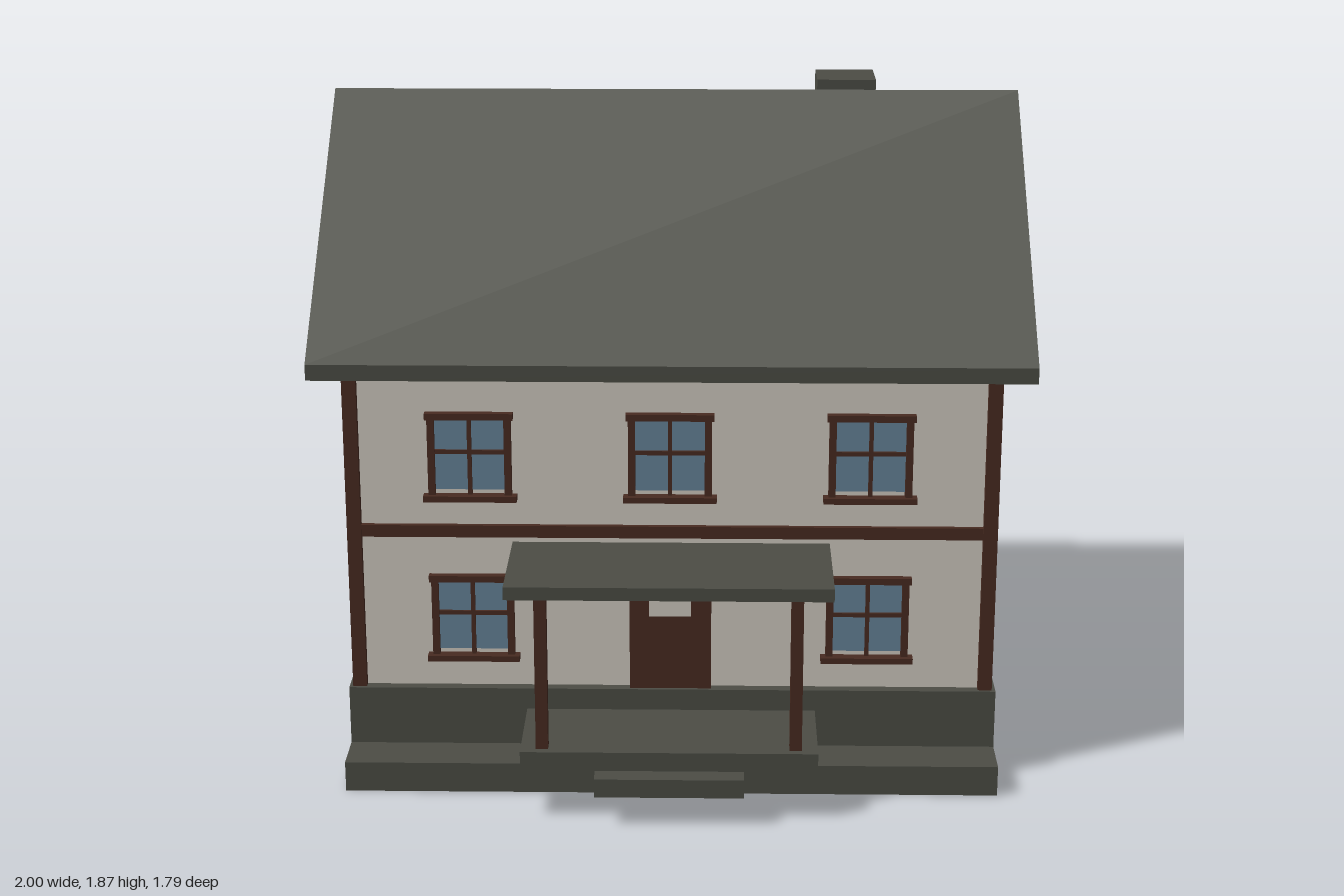
import * as THREE from 'three';

const mat = (name, color) => {
  const m = new THREE.MeshStandardMaterial({ color });
  m.name = name;
  return m;
};

export function createModel() {
  const slate = mat('slate grey', 0x4c4d45);
  const cream = mat('cream plaster', 0xd2ccc2);
  const timber = mat('dark timber', 0x482b21);
  const glass = mat('blue glass', 0x66849a);

  const house = new THREE.Group();
  house.name = 'house';

  // Box given by its lower and upper limits on each axis
  const box = (parent, name, material, [x0, x1], [y0, y1], [z0, z1]) => {
    const mesh = new THREE.Mesh(new THREE.BoxGeometry(x1 - x0, y1 - y0, z1 - z0), material);
    mesh.position.set((x0 + x1) / 2, (y0 + y1) / 2, (z0 + z1) / 2);
    mesh.name = name;
    parent.add(mesh);
    return mesh;
  };

  // Main limits of the walls
  const WX = 0.895, ZF = 0.52, ZB = -0.79;

  // Foundation, porch floor and step
  box(house, 'basePlinth', slate, [-0.925, 0.925], [0, 0.088], [-0.69, 0.685]);
  box(house, 'foundation', slate, [-0.925, 0.925], [0.088, 0.26], [-0.82, 0.55]);
  box(house, 'porchFloor', slate, [-0.415, 0.41], [0.088, 0.197], [0.55, 0.84]);
  box(house, 'porchStep', slate, [-0.208, 0.205], [0.088, 0.142], [0.84, 0.895]);

  // Walls
  box(house, 'walls', cream, [-WX, WX], [0.26, 1.205], [ZB, ZF]);

  // Corner posts
  for (const x of [-0.915, 0.875])
    for (const z of [-0.81, 0.5])
      box(house, 'cornerPost', timber, [x, x + 0.04], [0.26, 1.2], [z, z + 0.04]);

  // Beams between the floors
  const beamY = [0.715, 0.75];
  box(house, 'frontBeam', timber, [-0.88, 0.88], beamY, [ZF - 0.01, ZF + 0.015]);
  box(house, 'backBeam', timber, [-0.88, 0.88], beamY, [ZB - 0.015, ZB + 0.01]);
  box(house, 'leftBeam', timber, [WX - 0.01, WX + 0.015], beamY, [-0.78, 0.51]);
  box(house, 'rightBeam', timber, [-WX - 0.015, -WX + 0.01], beamY, [-0.78, 0.51]);

  // Gabled roof, extruded along x
  const gable = new THREE.Shape();
  gable.moveTo(-0.62, 1.2);
  gable.lineTo(0.895, 1.2);
  gable.lineTo(0.895, 1.245);
  gable.lineTo(0.138, 1.867);
  gable.lineTo(-0.62, 1.245);
  gable.closePath();
  const roofGeo = new THREE.ExtrudeGeometry(gable, { depth: 2, bevelEnabled: false });
  roofGeo.translate(0, 0, -1);
  roofGeo.rotateY(Math.PI / 2);
  const roof = new THREE.Mesh(roofGeo, slate);
  roof.name = 'roof';
  house.add(roof);
  box(house, 'chimney', slate, [0.42, 0.595], [1.4, 1.866], [-0.48, -0.305]);

  // Window facing +z, its origin at the sill bottom on the wall plane
  const addWindow = (x, y, z, turn, crossBar) => {
    const w = new THREE.Group();
    w.name = 'window';
    const half = crossBar ? 0.117 : 0.11;
    box(w, 'pane', glass, [-half + 0.015, half - 0.015], [0.03, 0.245], [-0.002, 0.005]);
    for (const s of [-1, 1]) {
      const jamb = box(w, 'jamb', timber, [-0.01, 0.01], [0.01, 0.245], [-0.005, 0.018]);
      jamb.position.x = s * (half - 0.01);
    }
    box(w, 'mullion', timber, [-0.006, 0.006], [0.01, 0.245], [-0.005, 0.012]);
    if (crossBar) box(w, 'crossBar', timber, [-half + 0.01, half - 0.01], [0.136, 0.148], [-0.005, 0.012]);
    box(w, 'header', timber, [-half - 0.006, half + 0.006], [0.238, 0.257], [-0.005, 0.022]);
    box(w, 'sill', timber, [-half - 0.014, half + 0.014], [0, 0.017], [-0.005, 0.032]);
    w.position.set(x, y, z);
    w.rotation.y = turn;
    house.add(w);
  };
  const LOW = 0.343, HIGH = 0.825;
  for (const y of [LOW, HIGH])
    for (const x of [-0.565, 0.555]) {
      addWindow(x, y, ZF, 0, true);
      addWindow(x, y, ZB, Math.PI, true);
    }
  addWindow(-0.005, HIGH, ZF, 0, true);
  for (const z of [0.155, -0.425]) {
    addWindow(WX, LOW, z, Math.PI / 2, false);
    addWindow(-WX, HIGH, z, -Math.PI / 2, false);
  }

  // Door with its small light panel
  box(house, 'door', timber, [-0.12, 0.112], [0.26, 0.625], [ZF - 0.01, 0.54]);
  box(house, 'doorPanel', cream, [-0.064, 0.055], [0.483, 0.575], [0.539, 0.546]);

  // Porch canopy on two posts
  box(house, 'porchRoof', slate, [-0.45, 0.445], [0.66, 0.697], [ZF, 0.87]);
  for (const x of [-0.372, 0.331])
    box(house, 'porchPost', timber, [x, x + 0.034], [0.197, 0.66], [0.785, 0.819]);

  return house;
}
